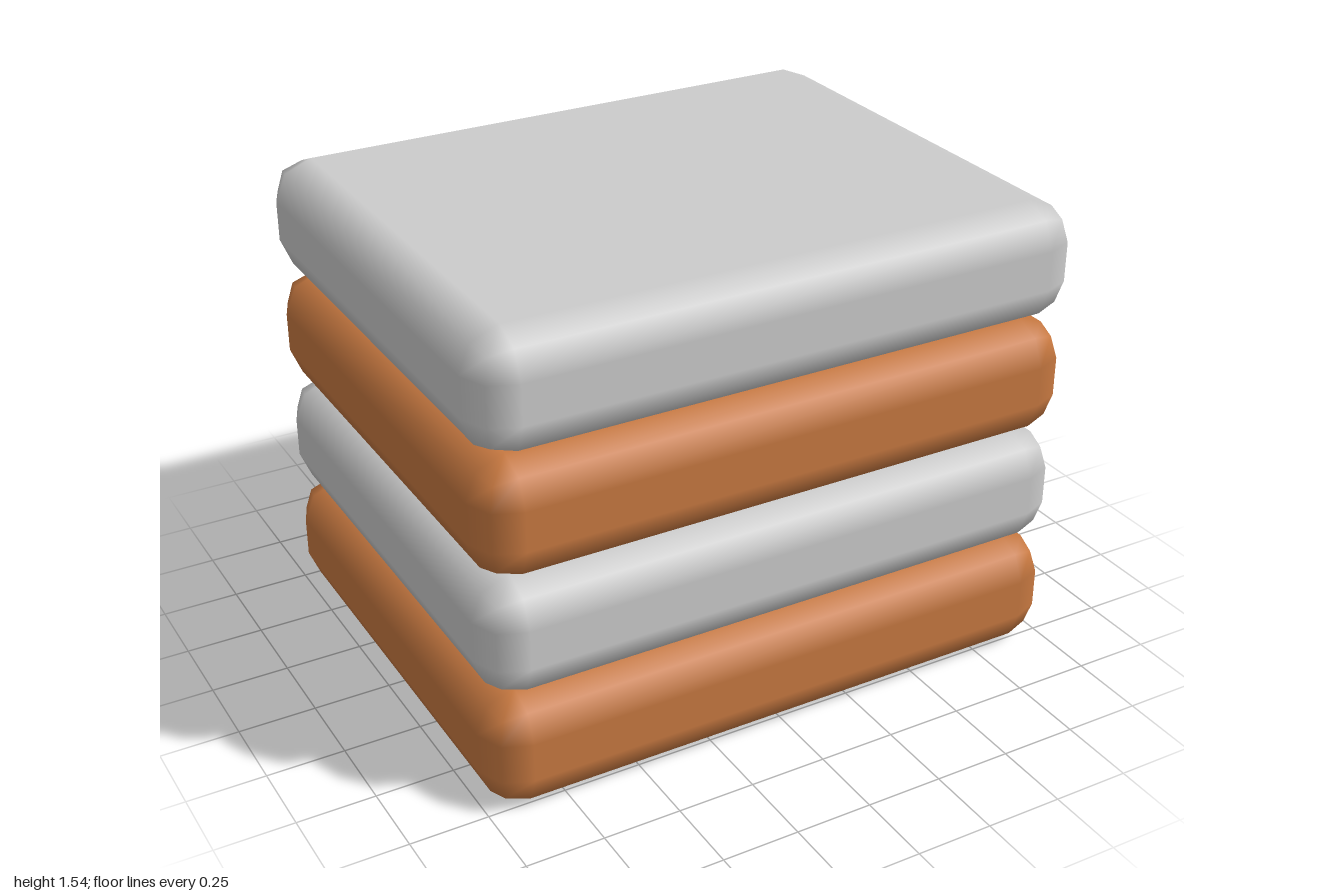
import * as THREE from 'three';
import { RoundedBoxGeometry } from 'three/addons/geometries/RoundedBoxGeometry.js';

const WIDTH = 2, HEIGHT = 0.377, DEPTH = 1.625, RADIUS = 0.125;
const PITCH = 0.388; // slab height plus the thin gap between slabs

export function createModel() {
  const group = new THREE.Group();
  group.name = 'cushionStack';

  const orange = new THREE.MeshStandardMaterial({ color: 0xc87941 });
  const grey = new THREE.MeshStandardMaterial({ color: 0xcccccc });

  // One soft slab with a coarse rounded edge, shared by all four cushions
  const slab = new RoundedBoxGeometry(WIDTH, HEIGHT, DEPTH, 1, RADIUS);

  // Cushions alternate in colour from the bottom up
  for (let i = 0; i < 4; i++) {
    const cushion = new THREE.Mesh(slab, i % 2 ? grey : orange);
    cushion.name = `cushion${i + 1}`;
    cushion.position.y = HEIGHT / 2 + i * PITCH;
    group.add(cushion);
  }
  return group;
}
